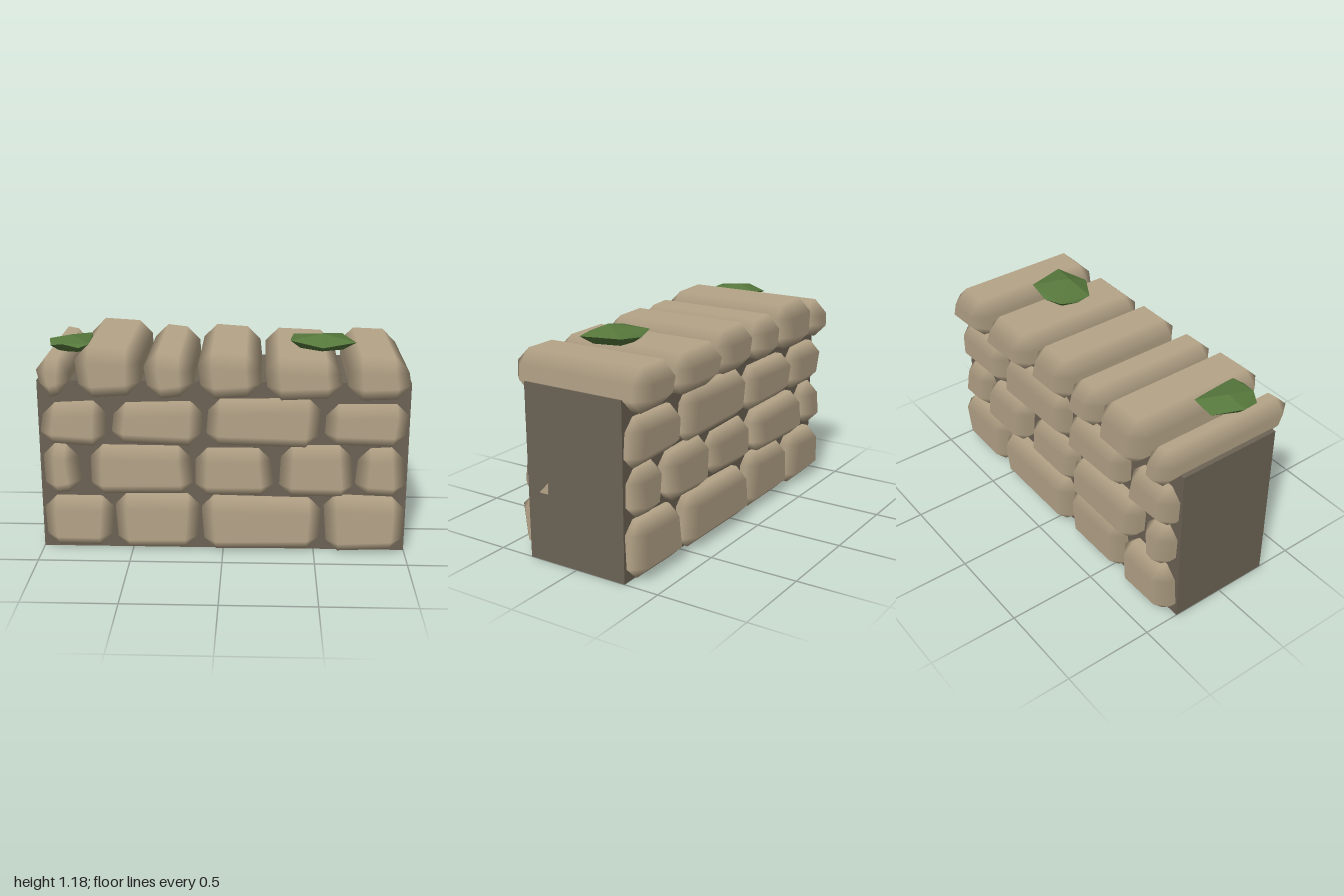
import * as THREE from 'three';
import { ConvexGeometry } from 'three/addons/geometries/ConvexGeometry.js';

const stoneMat = new THREE.MeshStandardMaterial({ color: 0xb5a488 });
const coreMat = new THREE.MeshStandardMaterial({ color: 0x6c6355 });
const leafMat = new THREE.MeshStandardMaterial({ color: 0x56783c, flatShading: true });

// Chamfered block spanning min..max: flat faces, softly shaded bevels, slightly skewed corners
function stone(name, min, max, bevel, seed) {
  const half = max.map((v, i) => (v - min[i]) / 2);
  const mid = max.map((v, i) => (v + min[i]) / 2);
  const b = half.map((h) => Math.min(bevel, h * 0.7));
  const points = [];
  for (const sx of [-1, 1]) for (const sy of [-1, 1]) for (const sz of [-1, 1]) {
    const s = [sx, sy, sz];
    for (let axis = 0; axis < 3; axis++) {
      points.push(new THREE.Vector3(...s.map((v, i) => v * (half[i] - (i === axis ? 0 : b[i])))));
    }
  }
  const geo = new ConvexGeometry(points);
  const pos = geo.attributes.position, nor = geo.attributes.normal;
  for (let i = 0; i < pos.count; i++) {
    const p = [pos.getX(i), pos.getY(i), pos.getZ(i)];
    // each vertex takes the normal of the flat face it lies on
    nor.setXYZ(i, ...p.map((v, k) => (Math.abs(Math.abs(v) - half[k]) < 1e-4 ? Math.sign(v) : 0)));
    const corner = (p[0] > 0 ? 1 : 0) + (p[1] > 0 ? 2 : 0) + (p[2] > 0 ? 4 : 0);
    pos.setXYZ(i, ...p.map((v, k) => v + mid[k] + 0.008 * Math.sin(seed * 12.9 + corner * 4.7 + k * 2.3)));
  }
  const mesh = new THREE.Mesh(geo, stoneMat);
  mesh.name = name;
  return mesh;
}

// Low, faceted clump: a rim outline [x, z] with a raised top and a narrower underside
function leafClump(name, rim, rimY, peak, bottomY) {
  const cx = rim.reduce((a, p) => a + p[0], 0) / rim.length;
  const cz = rim.reduce((a, p) => a + p[1], 0) / rim.length;
  const points = [new THREE.Vector3(...peak)];
  rim.forEach(([x, z], i) => {
    points.push(new THREE.Vector3(x, rimY + (i % 2 ? 0.008 : -0.008), z));
    points.push(new THREE.Vector3(cx + (x - cx) * 0.65, bottomY, cz + (z - cz) * 0.65));
  });
  const mesh = new THREE.Mesh(new ConvexGeometry(points), leafMat);
  mesh.name = name;
  return mesh;
}

export function createModel() {
  const group = new THREE.Group();
  group.name = 'stoneWall';

  // Mortar core
  const core = new THREE.Mesh(new THREE.BoxGeometry(2, 0.96, 0.6), coreMat);
  core.name = 'mortarCore';
  core.position.y = 0.48;
  group.add(core);

  // Courses of facing stones: [x0, x1, y0, y1, front depth, back depth]
  const courses = [
    [[-0.98, -0.61, 0.01, 0.31, 0.38, 0.4], [-0.585, -0.135, 0.01, 0.33, 0.4, 0.39],
      [-0.11, 0.53, 0.01, 0.315, 0.4, 0.4], [0.56, 0.985, 0.01, 0.325, 0.4, 0.39]],
    [[-0.975, -0.785, 0.335, 0.6, 0.385, 0.4], [-0.72, -0.17, 0.335, 0.595, 0.385, 0.41],
      [-0.15, 0.265, 0.33, 0.585, 0.38, 0.38], [0.31, 0.7, 0.33, 0.605, 0.385, 0.4],
      [0.725, 0.98, 0.335, 0.595, 0.38, 0.38]],
    [[-0.98, -0.635, 0.605, 0.845, 0.38, 0.39], [-0.595, -0.115, 0.61, 0.85, 0.38, 0.395],
      [-0.085, 0.515, 0.605, 0.875, 0.385, 0.385], [0.55, 0.985, 0.605, 0.85, 0.37, 0.38]],
  ];
  courses.forEach((course, r) => course.forEach(([x0, x1, y0, y1, zf, zb], i) => {
    const seed = r * 7 + i + 1;
    group.add(stone('frontStone', [x0, y0, 0.16], [x1, y1, zf], 0.065, seed));
    group.add(stone('backStone', [x0, y0, -zb], [x1, y1, -0.16], 0.065, seed + 31));
  }));

  // Cap stones laid across the wall: [x0, x1, top, front, back]
  const caps = [
    [-0.98, -0.815, 1.105, 0.425, -0.43], [-0.775, -0.435, 1.155, 0.42, -0.43],
    [-0.41, -0.155, 1.12, 0.425, -0.42], [-0.125, 0.2, 1.125, 0.41, -0.405],
    [0.23, 0.625, 1.1, 0.425, -0.425], [0.66, 0.985, 1.105, 0.415, -0.425],
  ];
  caps.forEach(([x0, x1, top, front, back], i) => {
    group.add(stone('capStone', [x0, 0.885, back], [x1, top, front], 0.075, i + 60));
  });

  // Stone chip showing through the end of the core
  const chipShape = new THREE.Shape([[-0.225, 0.38], [-0.17, 0.38], [-0.165, 0.445]].map((p) => new THREE.Vector2(...p)));
  const chip = new THREE.Mesh(new THREE.ExtrudeGeometry(chipShape, { depth: 0.008, bevelEnabled: false }), stoneMat);
  chip.name = 'stoneChip';
  chip.rotation.y = Math.PI / 2;
  chip.position.x = 0.996;
  group.add(chip);

  // Plant clumps on the caps
  group.add(leafClump('rightLeafClump',
    [[-0.87, -0.03], [-0.74, -0.025], [-0.71, 0.1], [-0.715, 0.25], [-0.77, 0.28], [-0.86, 0.26], [-0.93, 0.22], [-0.95, 0.12]],
    1.14, [-0.83, 1.17, 0.12], 1.1));
  group.add(leafClump('leftLeafClump',
    [[0.36, 0.06], [0.38, -0.04], [0.5, -0.07], [0.65, -0.05], [0.66, 0.05], [0.71, 0.17], [0.53, 0.24], [0.36, 0.14]],
    1.14, [0.53, 1.185, 0.12], 1.1));

  return group;
}
